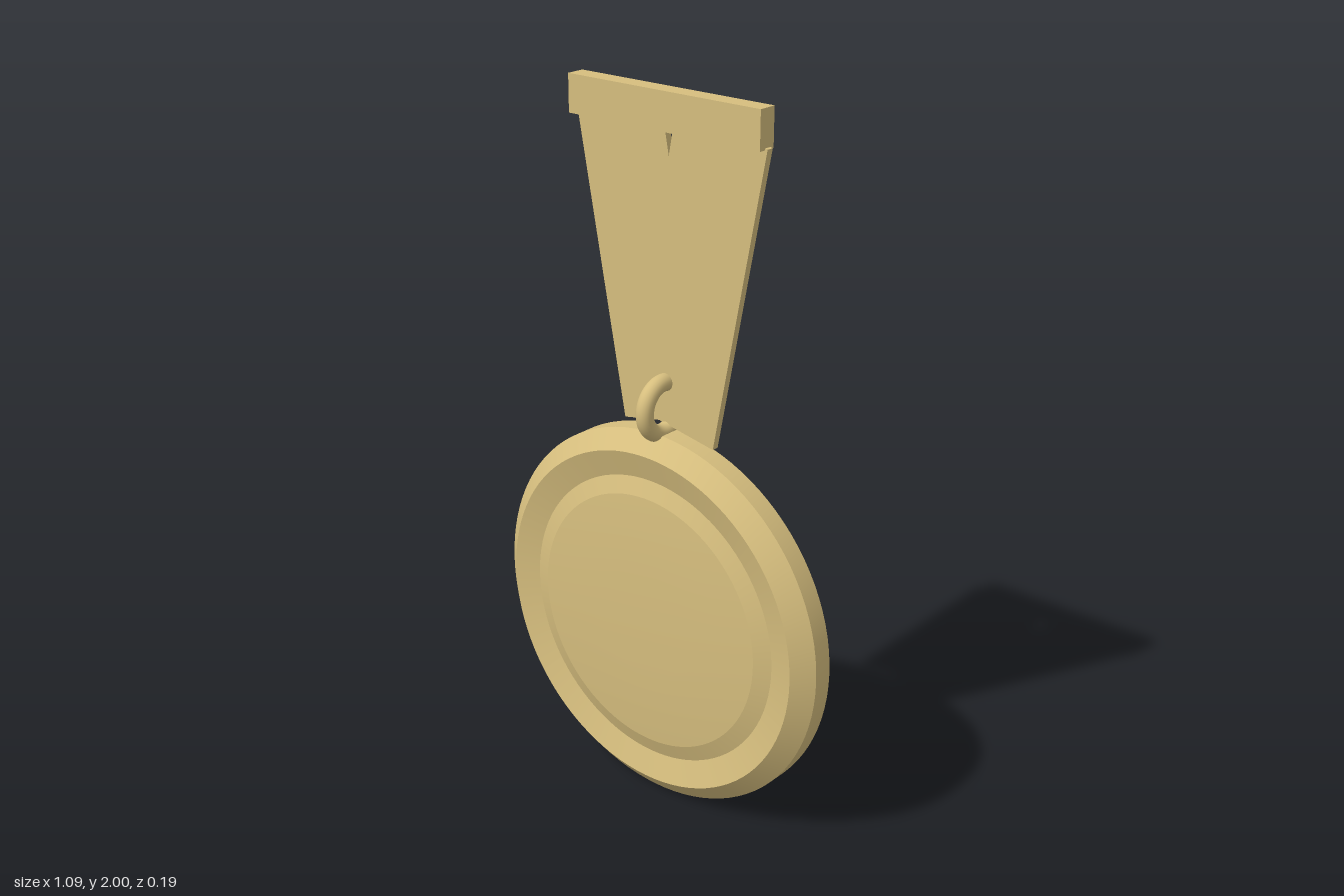
import * as THREE from 'three';
import { toCreasedNormals } from 'three/addons/utils/BufferGeometryUtils.js';

export function createModel() {
  const model = new THREE.Group();
  model.name = 'medal';

  const gold = new THREE.MeshStandardMaterial({ color: 0xd6be7e });
  gold.name = 'pale gold';

  const add = (name, geometry, x, y, z) => {
    const mesh = new THREE.Mesh(geometry, gold);
    mesh.name = name;
    mesh.position.set(x, y, z);
    model.add(mesh);
    return mesh;
  };

  // Disc: bevelled rim, dished border and slightly domed centre, turned to face +z
  const profile = [
    [0, -0.063], [0.495, -0.063], [0.547, -0.03], [0.547, 0.028],
    [0.495, 0.073], [0.42, 0.052], [0.372, 0.069], [0.28, 0.076], [0.16, 0.08], [0, 0.082],
  ].map(([r, h]) => new THREE.Vector2(r, h));
  const disc = new THREE.LatheGeometry(profile, 96).rotateX(Math.PI / 2);
  add('disc', toCreasedNormals(disc, 0.2), 0, 0.548, 0);

  // Ring standing across the top of the disc
  const ring = new THREE.TorusGeometry(0.07, 0.024, 20, 48).rotateY(Math.PI / 2);
  add('hangingRing', ring, 0, 1.161, 0);

  // Two ribbon bands leaning outward, the right one passing behind the left
  const band = new THREE.BoxGeometry(0.29, 0.835, 0.02);
  for (const [name, side, z] of [['leftRibbon', 1, -0.023], ['rightRibbon', -1, -0.045]]) {
    add(name, band, side * 0.0975, 1.518, z).rotation.z = -side * 0.188;
  }

  // Top bar
  add('topBar', new THREE.BoxGeometry(0.62, 0.102, 0.053), 0, 1.949, -0.02);

  return model;
}
